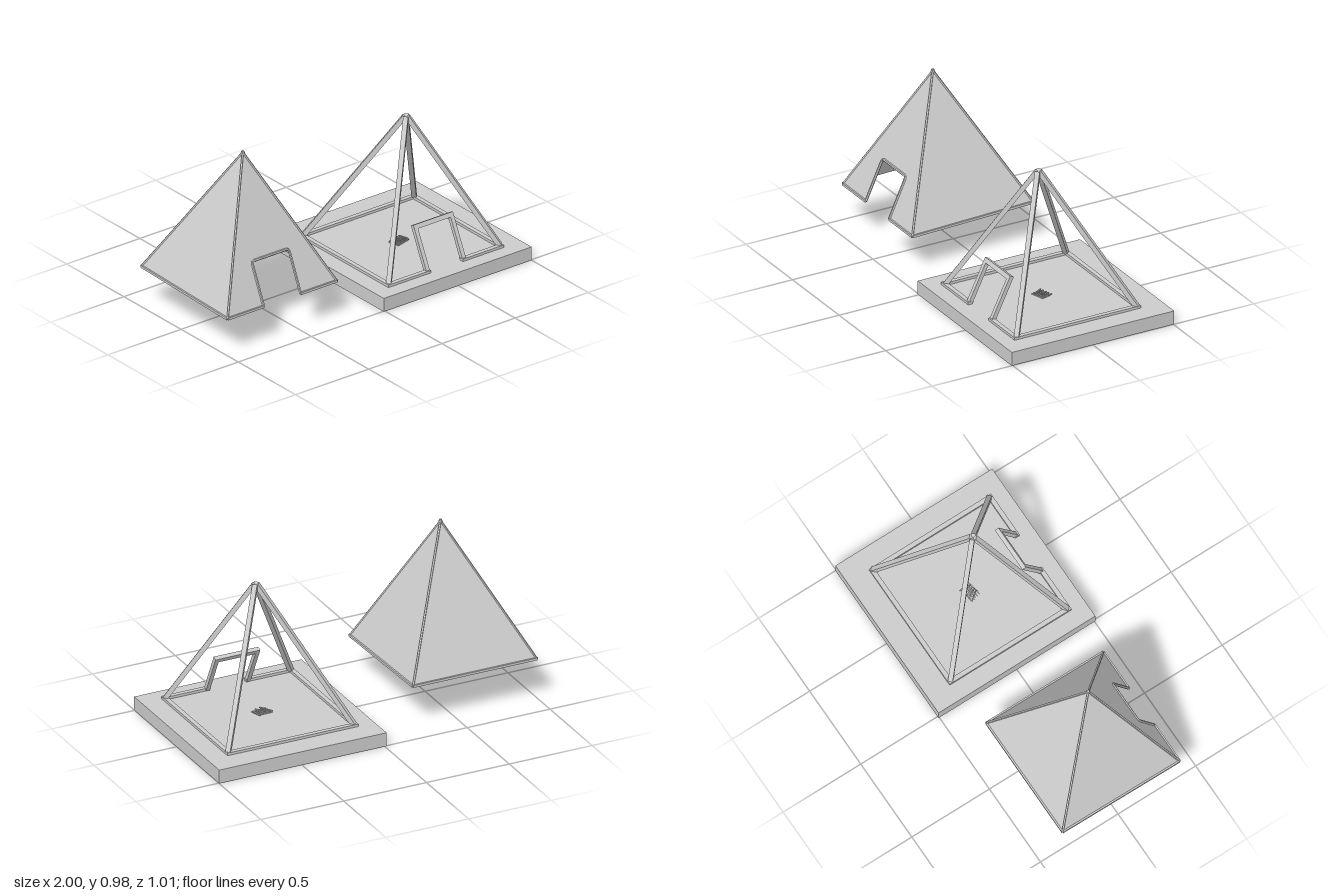
import * as THREE from 'three';

const grey = new THREE.MeshStandardMaterial({ color: 0xcccccc, flatShading: true, side: THREE.DoubleSide });
const V = (x, y, z) => new THREE.Vector3(x, y, z);

function box(parent, name, size, pos) {
  const m = new THREE.Mesh(new THREE.BoxGeometry(...size), grey);
  m.name = name;
  m.position.set(...pos);
  parent.add(m);
  return m;
}

// Rectangular bar running from a to b
function beam(parent, name, a, b, w, h = w) {
  const mid = a.clone().lerp(b, 0.5);
  const m = box(parent, name, [w, h, a.distanceTo(b)], mid.toArray());
  m.lookAt(b);
  return m;
}

// Thin triangular panel a-b-tip, thickened inwards; door = [u0, u1, height] cuts a doorway
function panel(parent, name, a, b, tip, door) {
  const x = b.clone().sub(a).normalize();
  const rel = tip.clone().sub(a);
  const z = x.clone().cross(rel).normalize();
  const y = z.clone().cross(x);
  const s = new THREE.Shape();
  s.moveTo(0, 0);
  if (door) {
    const [u0, u1, h] = door, r = 0.018;
    s.lineTo(u0, 0).lineTo(u0, h - r).quadraticCurveTo(u0, h, u0 + r, h);
    s.lineTo(u1 - r, h).quadraticCurveTo(u1, h, u1, h - r).lineTo(u1, 0);
  }
  s.lineTo(a.distanceTo(b), 0);
  s.lineTo(rel.dot(x), rel.dot(y));
  const t = 0.008;
  const g = new THREE.ExtrudeGeometry(s, { depth: t, bevelEnabled: false, curveSegments: 4 });
  g.translate(0, 0, -t);
  g.applyMatrix4(new THREE.Matrix4().makeBasis(x, y, z).setPosition(a));
  const m = new THREE.Mesh(g, grey);
  m.name = name;
  parent.add(m);
  return (u, v) => a.clone().addScaledVector(x, u).addScaledVector(y, v);
}

function buildTent() {
  const tent = new THREE.Group();
  tent.name = 'tentCover';
  const tip = V(-0.622, 0.972, 0.056);
  const c = [V(-0.995, 0.218, 0.4), V(-0.248, 0.218, 0.4), V(-0.248, 0.24, -0.354), V(-0.995, 0.24, -0.354)];
  const door = [0.247, 0.499, 0.252];
  const names = ['frontWall', 'leftWall', 'backWall', 'rightWall'];
  c.forEach((a, i) => {
    const b = c[(i + 1) % 4];
    const at = panel(tent, names[i], a, b, tip, i === 0 ? door : null);
    beam(tent, 'ridgeSeam', a, tip, 0.009);
    if (i > 0) return beam(tent, 'hem', a, b, 0.012, 0.014);
    // Front hem stops at the doorway, which has its own piping
    const [u0, u1, h] = door, r = 0.018;
    beam(tent, 'hem', a, at(u0, 0), 0.012, 0.014);
    beam(tent, 'hem', at(u1, 0), b, 0.012, 0.014);
    const path = new THREE.CurvePath();
    path.add(new THREE.LineCurve3(at(u0, 0), at(u0, h - r)));
    path.add(new THREE.QuadraticBezierCurve3(at(u0, h - r), at(u0, h), at(u0 + r, h)));
    path.add(new THREE.LineCurve3(at(u0 + r, h), at(u1 - r, h)));
    path.add(new THREE.QuadraticBezierCurve3(at(u1 - r, h), at(u1, h), at(u1, h - r)));
    path.add(new THREE.LineCurve3(at(u1, h - r), at(u1, 0)));
    const piping = new THREE.Mesh(new THREE.TubeGeometry(path, 60, 0.008, 6), grey);
    piping.name = 'doorPiping';
    tent.add(piping);
  });
  // Small knot at the peak
  const knot = new THREE.Mesh(new THREE.CylinderGeometry(0.008, 0.013, 0.016, 8), grey);
  knot.name = 'peakKnot';
  knot.position.copy(tip);
  tent.add(knot);
  return tent;
}

function buildFrame() {
  const frame = new THREE.Group();
  frame.name = 'poleFrame';
  const x0 = 0.09, x1 = 0.88, zb = -0.368, zf = 0.418, w = 0.026, y = 0.087, h = 0.016;
  const d0 = 0.355, d1 = 0.625;
  // Ground beams, with the front one split at the doorway
  box(frame, 'backBeam', [x1 - x0, h, w], [(x0 + x1) / 2, y, zb + w / 2]);
  for (const x of [x0 + w / 2, x1 - w / 2]) box(frame, 'sideBeam', [w, h, zf - zb], [x, y, (zf + zb) / 2]);
  for (const [a, b] of [[x0, d0 + w], [d1 - w, x1]]) {
    box(frame, 'frontBeam', [b - a, h, w], [(a + b) / 2, y, zf - w / 2]);
  }
  // Corner poles leaning together at the peak
  for (const sx of [-1, 1]) for (const sz of [-1, 1]) {
    const foot = V(sx < 0 ? 0.108 : 0.867, 0.088, sz < 0 ? -0.35 : 0.398);
    beam(frame, 'cornerPole', foot, V(0.498 + sx * 0.005, 0.84, 0.05 + sz * 0.006), 0.027);
  }
  // Leaning door frame
  const topZ = 0.292, topY = 0.31;
  for (const x of [d0 + 0.012, d1 - 0.012]) {
    beam(frame, 'doorPost', V(x, 0.084, 0.402), V(x, topY + 0.01, topZ - 0.005), 0.024);
  }
  const lintel = box(frame, 'doorLintel', [d1 - d0, 0.026, 0.024], [(d0 + d1) / 2, topY, topZ]);
  lintel.rotation.x = -0.45;
  return frame;
}

// Little heap of crossed sticks
function buildFirewood() {
  const pile = new THREE.Group();
  pile.name = 'firewood';
  for (let i = 0; i < 5; i++) {
    const k = i / 4 - 0.5;
    beam(pile, 'lowerStick', V(-0.045, 0.004, k * 0.06), V(0.045, 0.008, k * 0.05 + 0.008), 0.006);
    beam(pile, 'upperStick', V(k * 0.085, 0.011, -0.032), V(k * 0.06 + 0.01, 0.014 + 0.008 * (i % 2), 0.03), 0.006);
  }
  pile.position.set(0.475, 0.08, 0.015);
  pile.rotation.y = 0.25;
  return pile;
}

export function createModel() {
  const model = new THREE.Group();
  model.name = 'tentAndFrame';
  box(model, 'basePlatform', [1.01, 0.08, 1.01], [0.495, 0.04, 0]);
  model.add(buildTent(), buildFrame(), buildFirewood());
  return model;
}
